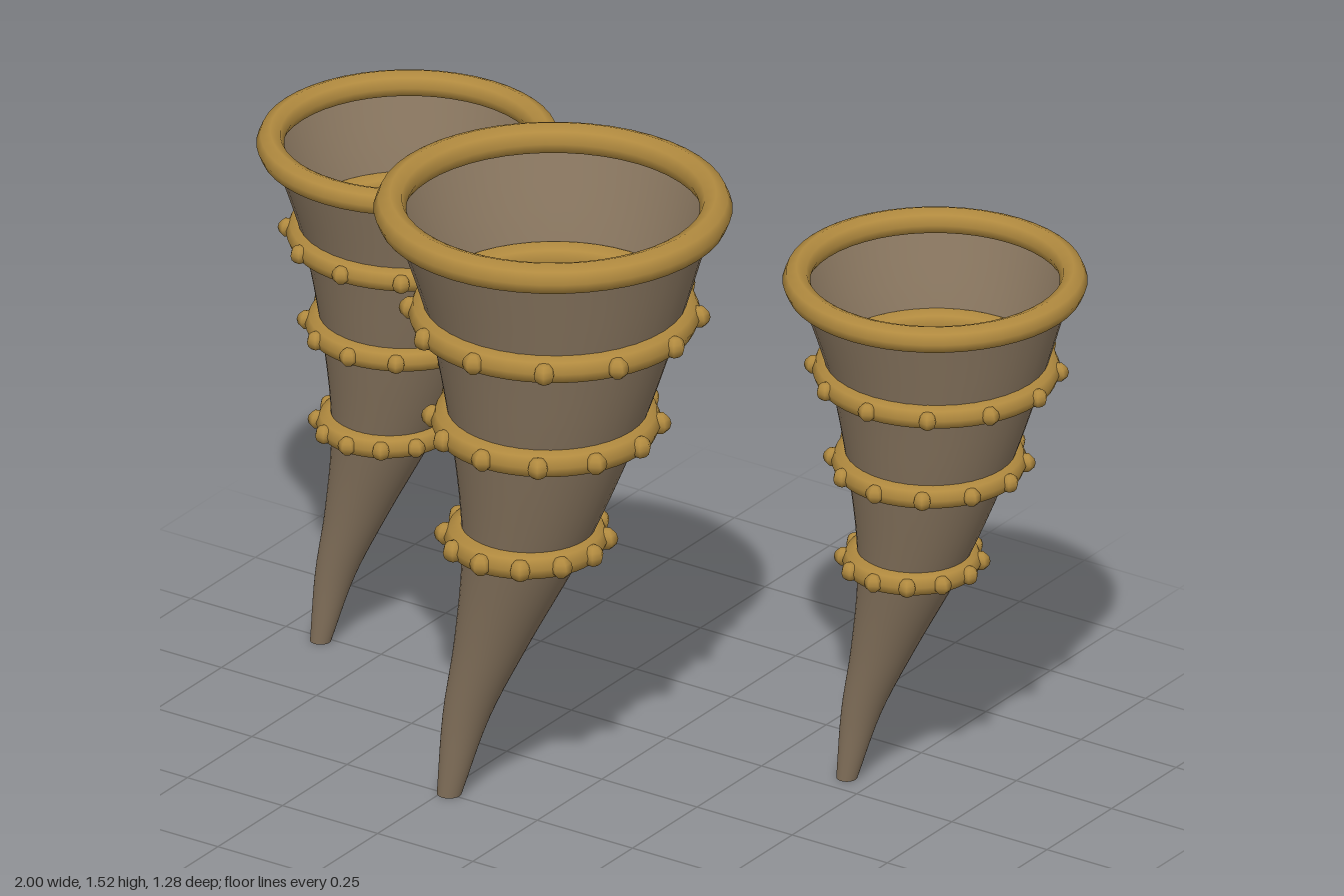
import * as THREE from 'three';
import { mergeVertices } from 'three/addons/utils/BufferGeometryUtils.js';

const hornMat = new THREE.MeshStandardMaterial({ color: 0x8b7861, side: THREE.DoubleSide });
hornMat.name = 'horn brown';
const goldMat = new THREE.MeshStandardMaterial({ color: 0xb18a3f });
goldMat.name = 'gold';

// Horn sections: height, sideways shift of the centre, radius
const SECTIONS = [
  [0, -0.235, 0.027], [0.2, -0.19, 0.052], [0.4, -0.122, 0.083], [0.675, -0.033, 0.14],
  [0.97, 0.02, 0.212], [1.235, 0.042, 0.279], [1.485, 0.038, 0.355],
];
const curve = new THREE.CatmullRomCurve3(SECTIONS.map(([y, x, r]) => new THREE.Vector3(x, y, r)));

function mesh(name, geometry, material, x = 0, y = 0, z = 0) {
  const m = new THREE.Mesh(geometry, material);
  m.name = name;
  m.position.set(x, y, z);
  return m;
}

// Hollow curved cone: a lathe whose rows are shifted along the curve
function hornGeometry() {
  const rows = curve.getPoints(30);
  const geo = new THREE.LatheGeometry(rows.map((p) => new THREE.Vector2(p.z, p.y)), 40);
  const pos = geo.attributes.position;
  for (let i = 0; i < pos.count; i++) pos.setX(i, pos.getX(i) + rows[i % rows.length].x);
  geo.deleteAttribute('uv');
  geo.deleteAttribute('normal');
  const merged = mergeVertices(geo, 1e-5);
  merged.computeVertexNormals();
  return merged;
}

// Horizontal hoop
function hoop(radius, tube) {
  return new THREE.TorusGeometry(radius, tube, 8, 48).rotateX(Math.PI / 2);
}

function buildHorn(name) {
  const horn = new THREE.Group();
  horn.name = name;
  horn.add(mesh('hornBody', hornGeometry(), hornMat));

  // Closed tip
  const [tipY, tipX, tipR] = SECTIONS[0];
  horn.add(mesh('hornTip', new THREE.CircleGeometry(tipR, 40).rotateX(Math.PI / 2), hornMat, tipX, tipY));

  // Mouth rim
  const [rimY, rimX, rimR] = SECTIONS[6];
  horn.add(mesh('rim', hoop(rimR, 0.036), goldMat, rimX, rimY));

  // Three bands, each with twelve studs
  const studGeo = new THREE.SphereGeometry(0.025, 6, 6);
  for (const [y, x, r] of SECTIONS.slice(3, 6)) {
    const band = new THREE.Group();
    band.name = 'band';
    band.position.set(x, y, 0);
    band.add(mesh('bandRing', hoop(r + 0.005, 0.034), goldMat));
    for (let i = 0; i < 12; i++) {
      const a = (i / 12) * Math.PI * 2;
      const d = r + 0.036;
      const stud = mesh('stud', studGeo, goldMat, Math.cos(a) * d, 0, Math.sin(a) * d);
      stud.rotation.y = -a;
      band.add(stud);
    }
    horn.add(band);
  }
  return horn;
}

export function createModel() {
  const model = new THREE.Group();
  model.name = 'hornTrio';
  const layout = [
    ['largeHorn', 0, 0.245, 1],
    ['rightHorn', -0.699, -0.235, 0.85],
    ['leftHorn', 0.635, -0.307, 0.85],
  ];
  for (const [name, x, z, scale] of layout) {
    const horn = buildHorn(name);
    horn.position.set(x, 0, z);
    horn.scale.setScalar(scale);
    model.add(horn);
  }
  return model;
}
